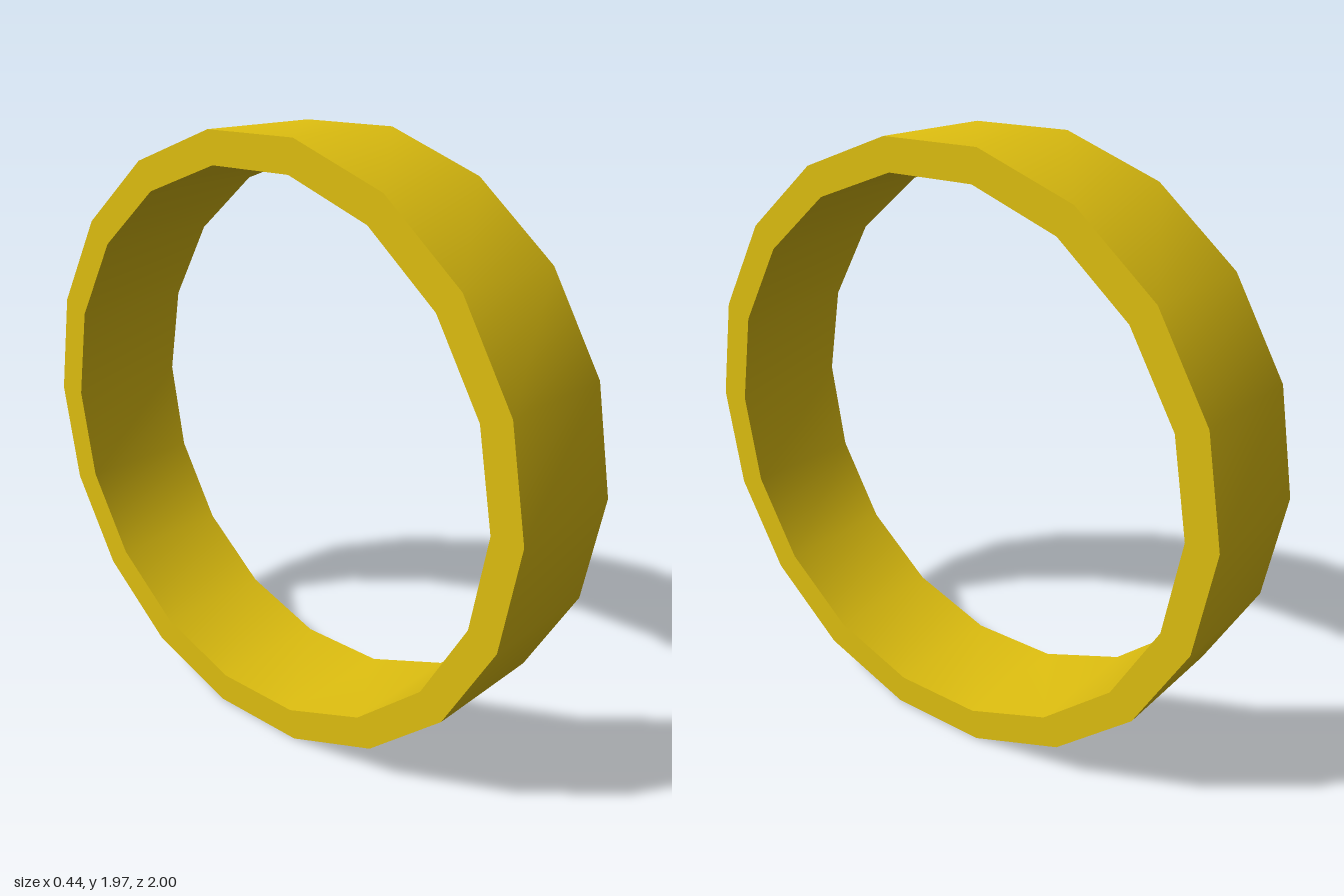
import * as THREE from 'three';
import { toCreasedNormals } from 'three/addons/utils/BufferGeometryUtils.js';

const SIDES = 18;
const OUTER = 1;
const INNER = 0.895;
const HALF_WIDTH = 0.22;

export function createModel() {
  const group = new THREE.Group();
  group.name = 'ring';

  // Rectangular cross-section of the band, swept around the axis
  const profile = [
    [OUTER, -HALF_WIDTH],
    [OUTER, HALF_WIDTH],
    [INNER, HALF_WIDTH],
    [INNER, -HALF_WIDTH],
    [OUTER, -HALF_WIDTH],
  ].map(([r, y]) => new THREE.Vector2(r, y));

  // Smooth around the band, sharp at its rims
  const geometry = toCreasedNormals(new THREE.LatheGeometry(profile, SIDES), Math.PI / 4);

  // Lay the axis along x and rest the lowest flat side on the ground
  geometry.rotateZ(Math.PI / 2);
  geometry.translate(0, OUTER * Math.cos(Math.PI / SIDES), 0);

  const band = new THREE.Mesh(geometry, new THREE.MeshStandardMaterial({ color: 0xe0c010 }));
  band.name = 'band';
  group.add(band);
  return group;
}
